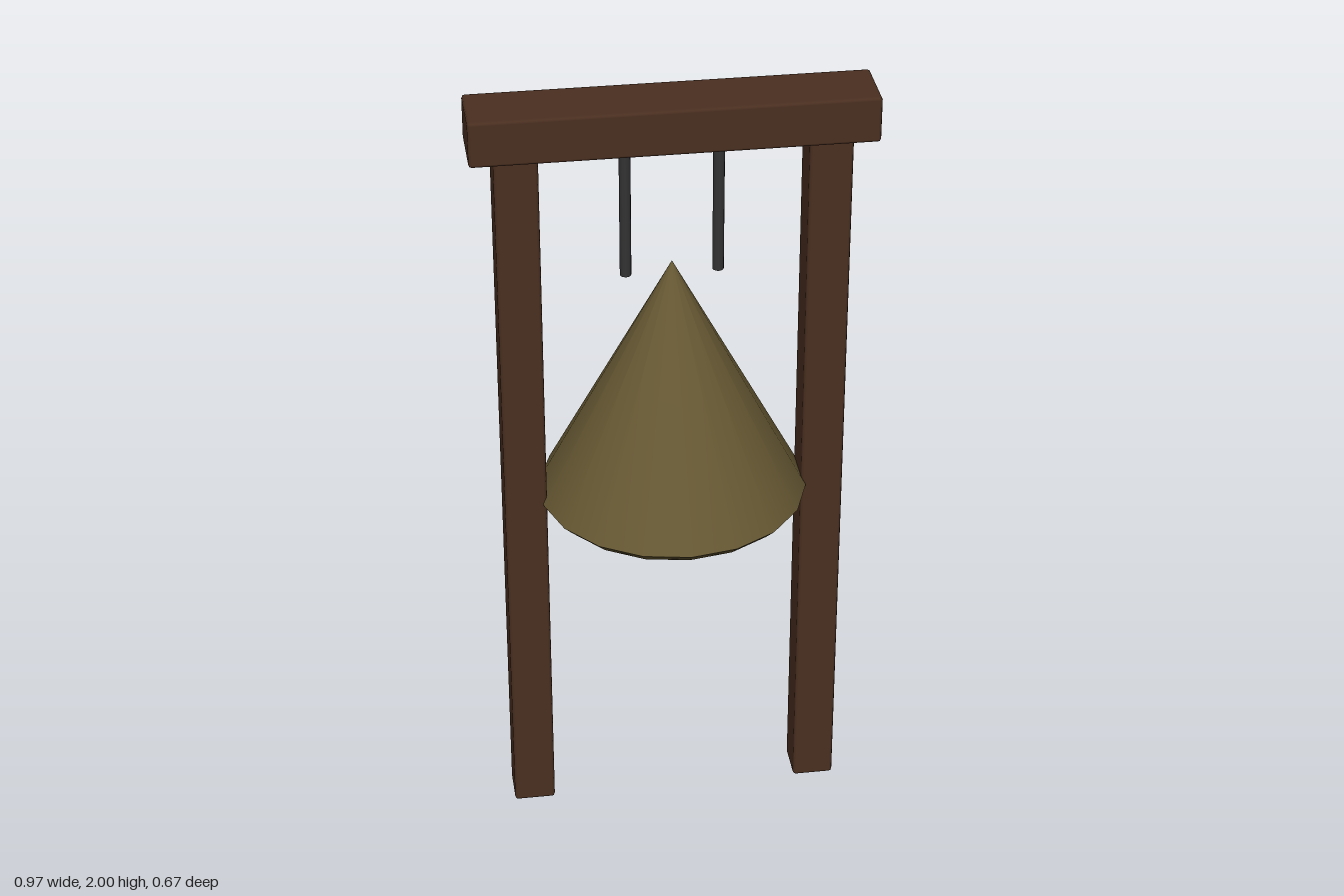
import * as THREE from 'three';
import { RoundedBoxGeometry } from 'three/addons/geometries/RoundedBoxGeometry.js';
import { toCreasedNormals } from 'three/addons/utils/BufferGeometryUtils.js';

const wood = new THREE.MeshStandardMaterial({ color: 0x4a2f20 });
const bronze = new THREE.MeshStandardMaterial({ color: 0x665833 });
const iron = new THREE.MeshStandardMaterial({ color: 0x333333 });

export function createModel() {
  const group = new THREE.Group();

  const add = (name, geometry, material, x, y, z = 0) => {
    const mesh = new THREE.Mesh(geometry, material);
    mesh.name = name;
    mesh.position.set(x, y, z);
    group.add(mesh);
    return mesh;
  };

  // Timber with a small chamfer, spanning y0 to y1
  const timber = (name, width, depth, y0, y1, x) =>
    add(name, new RoundedBoxGeometry(width, y1 - y0, depth, 1, 0.008), wood, x, (y0 + y1) / 2);

  // Frame
  timber('crossBeam', 0.966, 0.162, 1.885, 2, 0);
  for (const [side, s] of [['left', 1], ['right', -1]]) {
    timber(side + 'Post', 0.105, 0.105, 0, 1.9, s * 0.372);
    // Hanger rods below the beam
    add(side + 'Hanger', new THREE.CylinderGeometry(0.014, 0.014, 0.38, 12), iron, s * 0.112, 1.725);
  }

  // Conical bell with a chamfered lip and closed base
  const profile = [[0, 0.905], [0.31, 0.905], [0.335, 0.93], [0, 1.565]]
    .map(([r, y]) => new THREE.Vector2(r, y));
  add('bell', toCreasedNormals(new THREE.LatheGeometry(profile, 18), 0.9), bronze, 0, 0);

  // Clapper ball
  add('clapper', new THREE.SphereGeometry(0.058, 16, 12), iron, 0, 0.86);

  return group;
}
